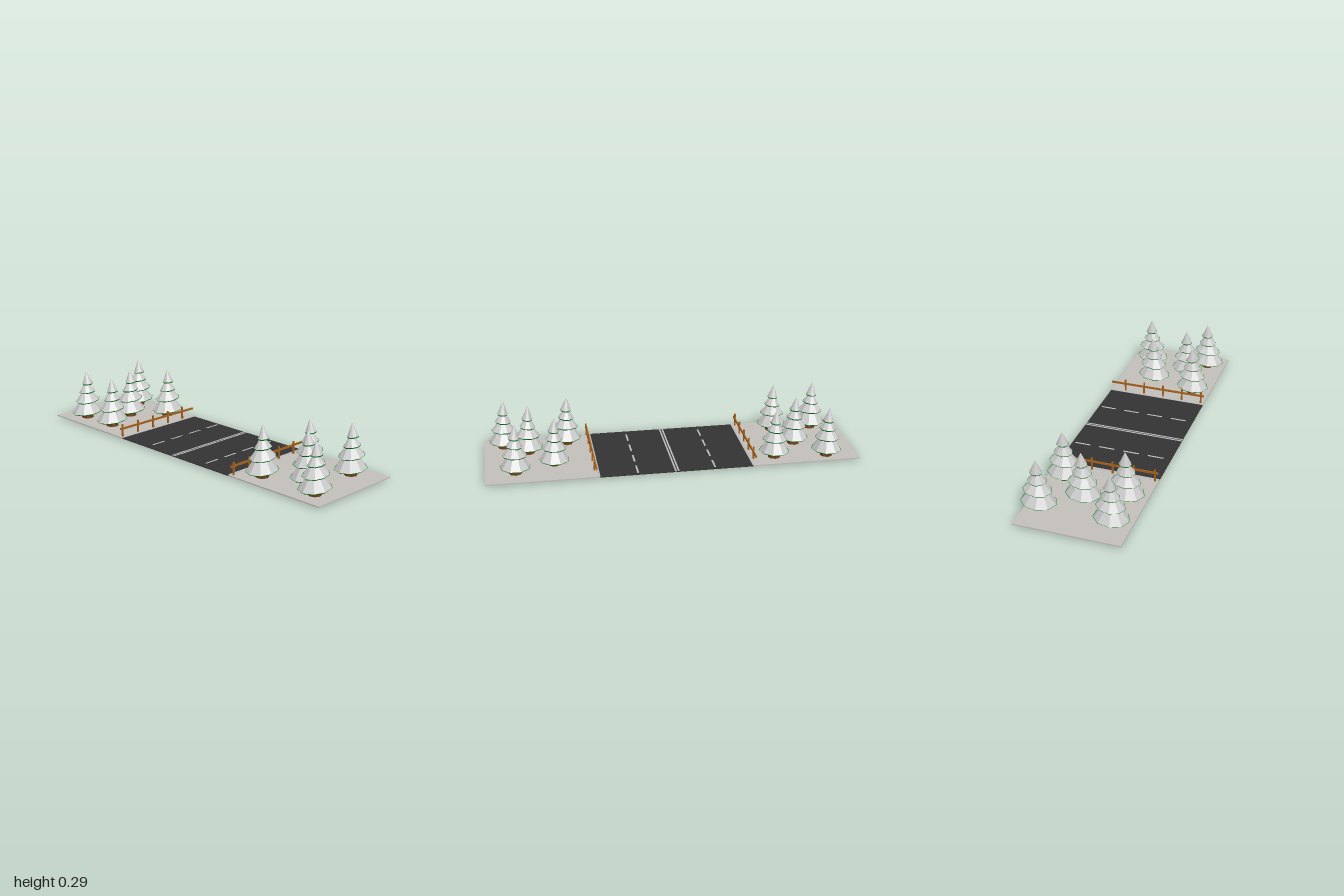
import * as THREE from 'three';

const mat = (color) => new THREE.MeshStandardMaterial({ color, flatShading: true });
const snow = mat(0xcccccc), green = mat(0x118a26), bark = mat(0x6b3c12), wood = mat(0xa8621c);
const asphalt = mat(0x333333), paint = mat(0xbbbbbb), ground = mat(0xc4bfbb);

function mesh(name, geometry, material, parent, x = 0, y = 0, z = 0) {
  const m = new THREE.Mesh(geometry, material);
  m.name = name;
  m.position.set(x, y, z);
  parent.add(m);
  return m;
}
const box = (name, w, h, d, material, parent, x, y, z) =>
  mesh(name, new THREE.BoxGeometry(w, h, d), material, parent, x, y, z);

// Tiers from the top down: base y, top y, base radius, top radius, z shift, tilts
const TIERS = [
  [0.216, 0.289, 0.032, 0.0, 0.003, 0.03, 0.1],
  [0.169, 0.217, 0.048, 0.013, 0.007, 0.06, 0.1],
  [0.118, 0.170, 0.073, 0.026, 0.008, 0.1, 0.03],
  [0.051, 0.125, 0.090, 0.034, 0.0115, 0.06, 0.02],
];

function createTree(x, y, z) {
  const tree = new THREE.Group();
  tree.name = 'tree';
  tree.position.set(x, y, z);
  const trunk = mesh('trunk', new THREE.CylinderGeometry(0.026, 0.035, 0.05, 8), bark, tree, 0.003, 0.035, 0.0115);
  trunk.rotation.x = 0.05;
  for (const [y0, y1, r0, r1, dz, tiltX, tiltZ] of TIERS) {
    const tier = new THREE.Group();
    tier.name = 'branchTier';
    tier.position.set(0.003, y0, dz);
    tier.rotation.set(tiltX, 0, tiltZ);
    tier.scale.x = 0.88;
    // Snow cap over a slightly wider green skirt
    mesh('snowCap', new THREE.CylinderGeometry(r1, r0, y1 - y0, 9), snow, tier, 0, (y1 - y0) / 2, 0);
    mesh('greenSkirt', new THREE.CylinderGeometry(r0 * 1.03, r0 * 0.93, 0.006, 9), green, tier, 0, -0.003, 0);
    tree.add(tier);
  }
  return tree;
}

function createFence(x, side) {
  const fence = new THREE.Group();
  fence.name = 'fence';
  for (let i = 0; i < 5; i++) {
    box('fencePost', 0.008, 0.073, 0.009, wood, fence, x, 0.0465, 0.27 - i * 0.114);
  }
  box('fenceRail', 0.006, 0.011, 0.557, wood, fence, x - side * 0.004, 0.0595, 0.0095);
  return fence;
}

export function createModel() {
  const model = new THREE.Group();
  model.name = 'forestRoad';
  const depth = 0.557, zMid = 0.0095;

  // Road and its centre line
  box('road', 0.82, 0.004, depth, asphalt, model, 0, 0.0095, zMid);
  for (const s of [-1, 1]) {
    box('snowyGround', 0.59, 0.006, depth, ground, model, s * 0.705, 0.0105, zMid);
    box('centreLine', 0.009, 0.0008, depth, paint, model, s * 0.0075, 0.0118, zMid);
    box('edgeLine', 0.014, 0.0012, depth, paint, model, s * 0.413, 0.0138, zMid);
    for (let i = 0; i < 4; i++) {
      box('laneDash', 0.01, 0.0008, 0.086, paint, model, s * 0.206, 0.0118, -0.21 + i * 0.1375);
    }
    model.add(createFence(s * 0.429, s));
  }

  // Trees: x, z, drop
  const trees = [
    [-0.848, 0.174], [-0.832, -0.21], [-0.698, -0.028], [-0.623, 0.174], [-0.548, -0.187],
    [0.543, 0.174], [0.628, -0.087, 0.008], [0.757, 0.081], [0.837, -0.163], [0.885, 0.174],
  ];
  for (const [x, z, drop = 0] of trees) model.add(createTree(x, -drop, z));
  return model;
}
